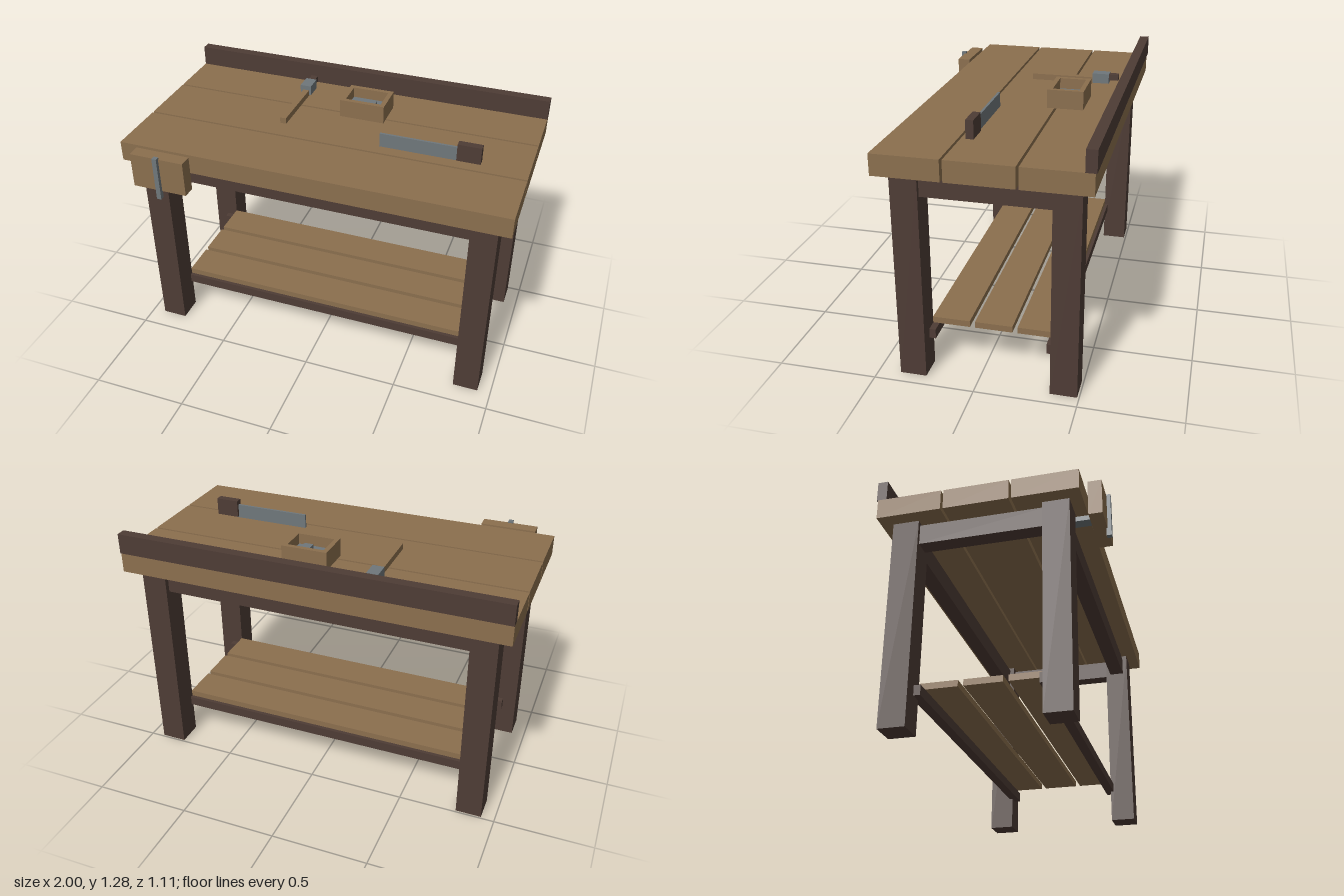
import * as THREE from 'three';

export function createModel() {
  const bench = new THREE.Group();
  bench.name = 'workbench';

  const material = (name, color) => {
    const m = new THREE.MeshStandardMaterial({ color });
    m.name = name;
    return m;
  };
  const wood = material('light wood', 0x8b6f4e);
  const dark = material('dark wood', 0x4e3c35);
  const steel = material('steel', 0x6f777b);

  // Box given by its extents along each axis
  const box = (parent, name, mat, [x0, x1], [y0, y1], [z0, z1]) => {
    const mesh = new THREE.Mesh(new THREE.BoxGeometry(x1 - x0, y1 - y0, z1 - z0), mat);
    mesh.position.set((x0 + x1) / 2, (y0 + y1) / 2, (z0 + z1) / 2);
    mesh.name = name;
    parent.add(mesh);
    return mesh;
  };
  const group = (name) => {
    const g = new THREE.Group();
    g.name = name;
    bench.add(g);
    return g;
  };

  // Top planks and the raised board along the back
  const top = group('benchTop');
  for (const z of [0.2875, -0.05, -0.3875]) {
    box(top, 'topPlank', wood, [-1, 1], [1.07, 1.175], [z - 0.1625, z + 0.1625]);
  }
  box(top, 'backBoard', dark, [-1, 1], [1.175, 1.28], [-0.557, -0.506]);

  // Legs, aprons and shelf rails
  const frame = group('frame');
  for (const z of [0.324, -0.424]) {
    for (const x of [-0.865, 0.865]) {
      box(frame, 'leg', dark, [x - 0.066, x + 0.066], [0, 1.07], [z - 0.066, z + 0.066]);
    }
    box(frame, 'longApron', dark, [-0.82, 0.82], [0.95, 1.055], [z - 0.04, z + 0.04]);
  }
  for (const x of [-0.87, 0.87]) {
    box(frame, 'sideApron', dark, [x - 0.04, x + 0.04], [0.95, 1.055], [-0.38, 0.28]);
  }
  box(frame, 'shelfRail', dark, [-0.86, 0.86], [0.175, 0.225], [0.226, 0.275]);
  box(frame, 'shelfRail', dark, [-0.86, 0.86], [0.175, 0.225], [-0.375, -0.325]);

  // Lower shelf
  const shelf = group('shelf');
  for (const z of [0.164, -0.05, -0.264]) {
    box(shelf, 'shelfPlank', wood, [-0.8, 0.8], [0.226, 0.258], [z - 0.094, z + 0.094]);
  }

  // Front vise
  const vise = group('vise');
  box(vise, 'viseJaw', wood, [-0.895, -0.605], [0.99, 1.175], [0.47, 0.538]);
  box(vise, 'viseScrew', steel, [-0.776, -0.722], [1.044, 1.095], [0.37, 0.47]);
  box(vise, 'viseHandle', steel, [-0.762, -0.737], [0.95, 1.185], [0.532, 0.557]);

  // Hammer
  const hammer = group('hammer');
  box(hammer, 'hammerHandle', wood, [-0.311, -0.278], [1.178, 1.21], [-0.34, 0.003]);
  box(hammer, 'hammerHead', steel, [-0.327, -0.267], [1.183, 1.235], [-0.419, -0.33]);
  box(hammer, 'hammerPeen', dark, [-0.315, -0.278], [1.2, 1.231], [-0.469, -0.419]);

  // Open parts tray
  const tray = group('tray');
  box(tray, 'trayWall', wood, [-0.042, 0.197], [1.175, 1.27], [-0.2, -0.176]);
  box(tray, 'trayWall', wood, [-0.042, 0.197], [1.175, 1.27], [-0.359, -0.335]);
  box(tray, 'trayWall', wood, [-0.042, -0.018], [1.175, 1.27], [-0.335, -0.2]);
  box(tray, 'trayWall', wood, [0.173, 0.197], [1.175, 1.27], [-0.335, -0.2]);
  box(tray, 'trayFloor', steel, [-0.018, 0.173], [1.176, 1.215], [-0.335, -0.2]);
  box(tray, 'metalBlock', steel, [0.08, 0.128], [1.215, 1.24], [-0.28, -0.232]);

  // Saw standing on its edge
  const saw = group('saw');
  box(saw, 'sawBlade', steel, [0.25, 0.66], [1.183, 1.256], [0.052, 0.064]);
  box(saw, 'sawHandle', dark, [0.645, 0.765], [1.19, 1.28], [0.039, 0.077]);

  return bench;
}
